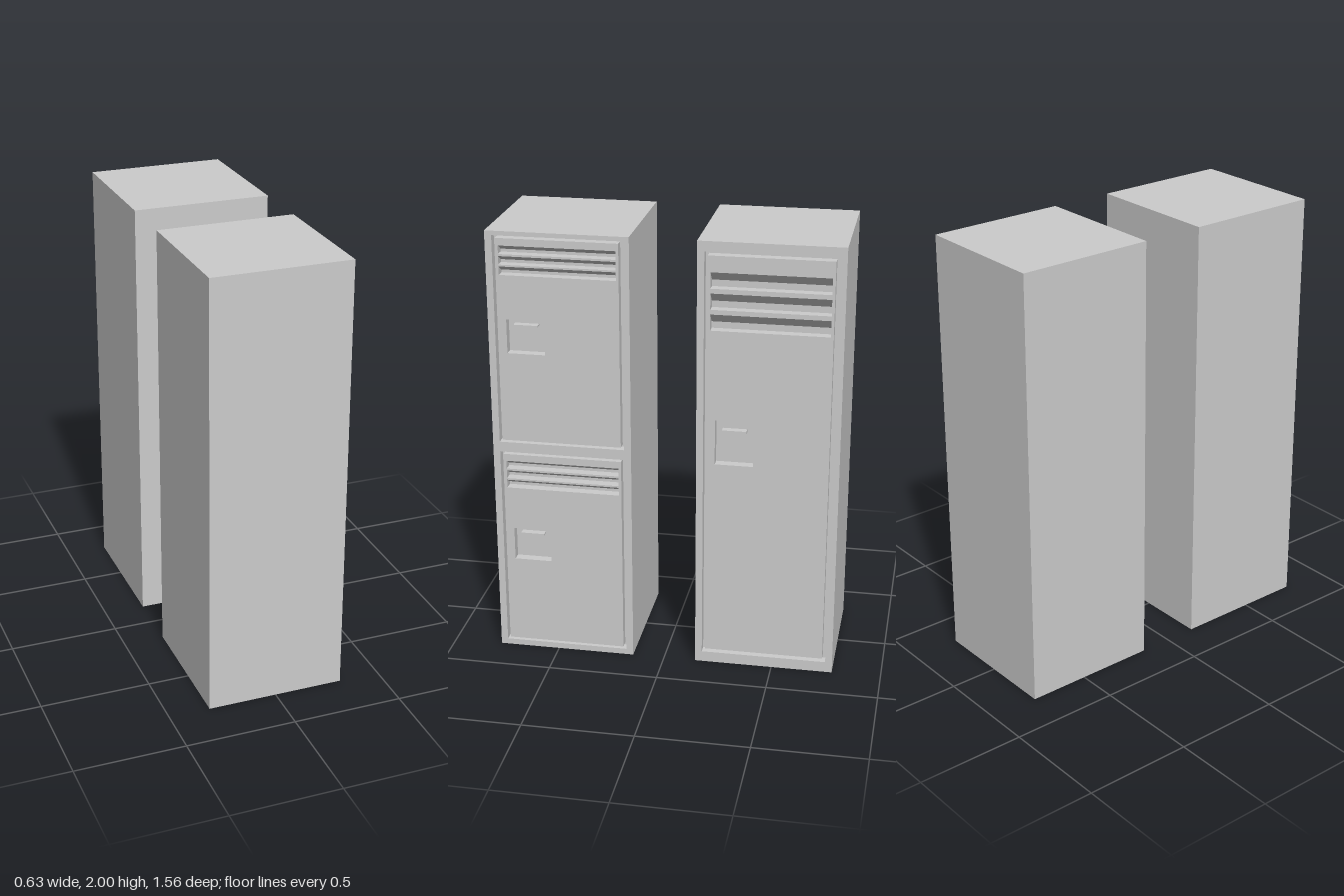
import * as THREE from 'three';

const W = 0.632, D = 0.626, H = 2, SKIN = 0.042; // cabinet size and front panel thickness
const FRONT = D / 2, BACK = FRONT - SKIN;
const mat = new THREE.MeshStandardMaterial({ color: 0xcccccc, flatShading: true });

function add(parent, name, geometry) {
  const mesh = new THREE.Mesh(geometry, mat);
  mesh.name = name;
  parent.add(mesh);
  return mesh;
}

// Rectangle outline, used both as a shape and as a hole
function rect(Type, x0, x1, y0, y1) {
  return new Type([[x0, y0], [x1, y0], [x1, y1], [x0, y1]].map(p => new THREE.Vector2(...p)));
}

// Flat panel with rectangular openings, sitting on the front of the cabinet core
function panel(parent, name, outer, holes) {
  const shape = rect(THREE.Shape, ...outer);
  shape.holes = holes.map(h => rect(THREE.Path, ...h));
  const geo = new THREE.ExtrudeGeometry(shape, { depth: SKIN, bevelEnabled: false });
  return add(parent, name, geo.translate(0, 0, BACK));
}

// Sloping hood that fills the upper part of a vent slot
function ventHood(parent, x0, x1, top, drop) {
  const s = new THREE.Shape();
  s.moveTo(-FRONT, top);
  s.lineTo(-BACK, top);
  s.lineTo(-BACK, top - drop);
  s.closePath();
  const geo = new THREE.ExtrudeGeometry(s, { depth: x1 - x0, bevelEnabled: false });
  geo.rotateY(Math.PI / 2).translate(x0, 0, 0);
  add(parent, 'ventHood', geo);
}

// Door with three vent slots and a recessed handle pocket
function door(d) {
  const g = new THREE.Group();
  g.name = 'door';
  const vents = d.vents.map(top => [-0.258, 0.258, top - d.ventHeight, top]);
  const pocket = [-0.233, -0.063, d.pocket[0], d.pocket[1]];
  panel(g, 'doorPanel', [-0.27, 0.27, d.y0 + d.gap, d.y1 - d.gap], [...vents, pocket]);
  vents.forEach(v => ventHood(g, v[0], v[1], v[3], d.ventDrop));
  add(g, 'latch', new THREE.BoxGeometry(0.108, d.latchHeight, 0.032))
    .position.set(-0.15, d.latchY, BACK + 0.016);
  return g;
}

// Cabinet core, front frame with door openings, and the doors
function locker(name, doors) {
  const g = new THREE.Group();
  g.name = name;
  add(g, 'cabinet', new THREE.BoxGeometry(W, H, D - SKIN)).position.set(0, H / 2, -SKIN / 2);
  panel(g, 'frontFrame', [-W / 2, W / 2, 0, H], doors.map(d => [-0.285, 0.285, d.y0, d.y1]));
  doors.forEach(d => g.add(door(d)));
  g.rotation.y = Math.PI / 2; // doors face +x
  return g;
}

export function createModel() {
  const model = new THREE.Group();
  model.name = 'lockers';

  // Two-door locker: the same short door repeated
  const shortDoor = base => ({
    y0: base + 0.027, y1: base + 0.98, gap: 0.011,
    vents: [0.936, 0.889, 0.843].map(y => base + y), ventHeight: 0.038, ventDrop: 0.025,
    pocket: [base + 0.45, base + 0.605], latchY: base + 0.576, latchHeight: 0.007,
  });
  const double = locker('doubleLocker', [shortDoor(0), shortDoor(1)]);
  double.position.z = 0.462;

  // Single tall-door locker
  const single = locker('singleLocker', [{
    y0: 0.05, y1: 1.955, gap: 0.017,
    vents: [1.865, 1.772, 1.679], ventHeight: 0.072, ventDrop: 0.043,
    pocket: [0.99, 1.197], latchY: 1.142, latchHeight: 0.014,
  }]);
  single.position.z = -0.462;

  model.add(double, single);
  return model;
}
